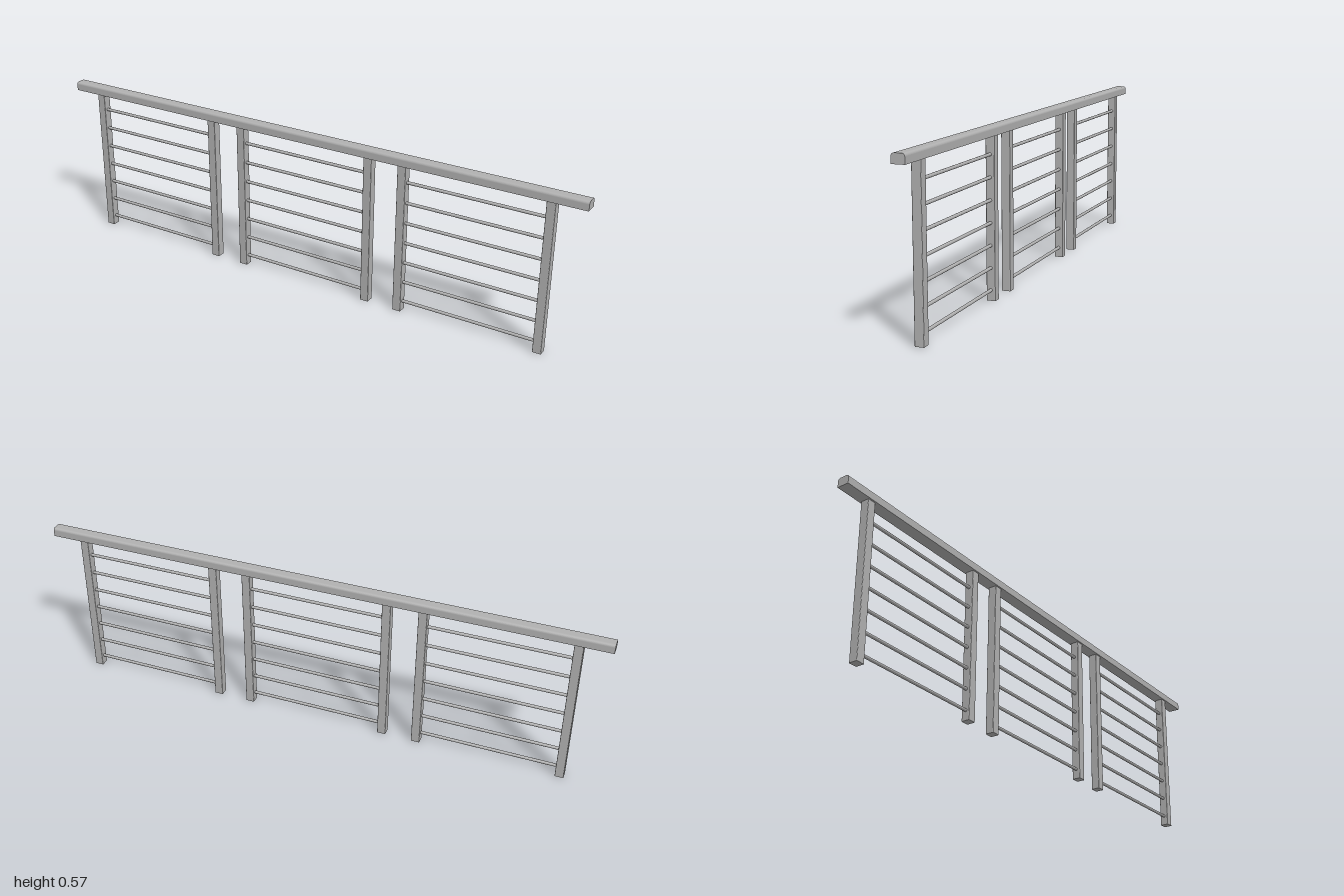
import * as THREE from 'three';

const RAIL_BOTTOM = 0.535, RAIL_TOP = 0.566, RAIL_HALF = 0.021, RAIL_RADIUS = 0.009;
const POST = 0.03, PANEL_HALF = 0.2535, BAR_RADIUS = 0.0055;

// Square post with slightly eased vertical edges, standing on y = 0
function postGeometry() {
  const h = POST / 2, r = 0.002;
  const s = new THREE.Shape();
  s.moveTo(-h + r, -h);
  s.lineTo(h - r, -h);
  s.quadraticCurveTo(h, -h, h, -h + r);
  s.lineTo(h, h - r);
  s.quadraticCurveTo(h, h, h - r, h);
  s.lineTo(-h + r, h);
  s.quadraticCurveTo(-h, h, -h, h - r);
  s.lineTo(-h, -h + r);
  s.quadraticCurveTo(-h, -h, -h + r, -h);
  const geo = new THREE.ExtrudeGeometry(s, { depth: RAIL_BOTTOM, bevelEnabled: false, curveSegments: 3 });
  return geo.rotateX(-Math.PI / 2);
}

// Handrail section with rounded top corners, swept along x
function railGeometry() {
  const w = RAIL_HALF, r = RAIL_RADIUS;
  const s = new THREE.Shape();
  s.moveTo(-w, RAIL_BOTTOM);
  s.lineTo(w, RAIL_BOTTOM);
  s.lineTo(w, RAIL_TOP - r);
  s.absarc(w - r, RAIL_TOP - r, r, 0, Math.PI / 2, false);
  s.lineTo(-w + r, RAIL_TOP);
  s.absarc(-w + r, RAIL_TOP - r, r, Math.PI / 2, Math.PI, false);
  s.lineTo(-w, RAIL_BOTTOM);
  const geo = new THREE.ExtrudeGeometry(s, { depth: 2, bevelEnabled: false, curveSegments: 6 });
  return geo.translate(0, 0, -1).rotateY(Math.PI / 2);
}

export function createModel() {
  const model = new THREE.Group();
  model.name = 'railing';
  const metal = new THREE.MeshStandardMaterial({ color: 0xb0b0b0 });
  metal.name = 'grey metal';

  const rail = new THREE.Mesh(railGeometry(), metal);
  rail.name = 'handrail';
  model.add(rail);

  const postGeo = postGeometry();
  const barGeo = new THREE.CylinderGeometry(BAR_RADIUS, BAR_RADIUS, PANEL_HALF * 2 - POST, 16).rotateZ(Math.PI / 2);

  // Three panels, each with two posts and seven horizontal bars
  [-0.637, -0.005, 0.628].forEach((x) => {
    const panel = new THREE.Group();
    panel.name = 'panel';
    panel.position.x = x;
    for (const side of [-1, 1]) {
      const post = new THREE.Mesh(postGeo, metal);
      post.name = side < 0 ? 'rightPost' : 'leftPost';
      post.position.x = side * PANEL_HALF;
      panel.add(post);
    }
    for (let i = 0; i < 7; i++) {
      const bar = new THREE.Mesh(barGeo, metal);
      bar.name = 'bar';
      bar.position.y = 0.035 + i * 0.0733;
      panel.add(bar);
    }
    model.add(panel);
  });
  return model;
}
